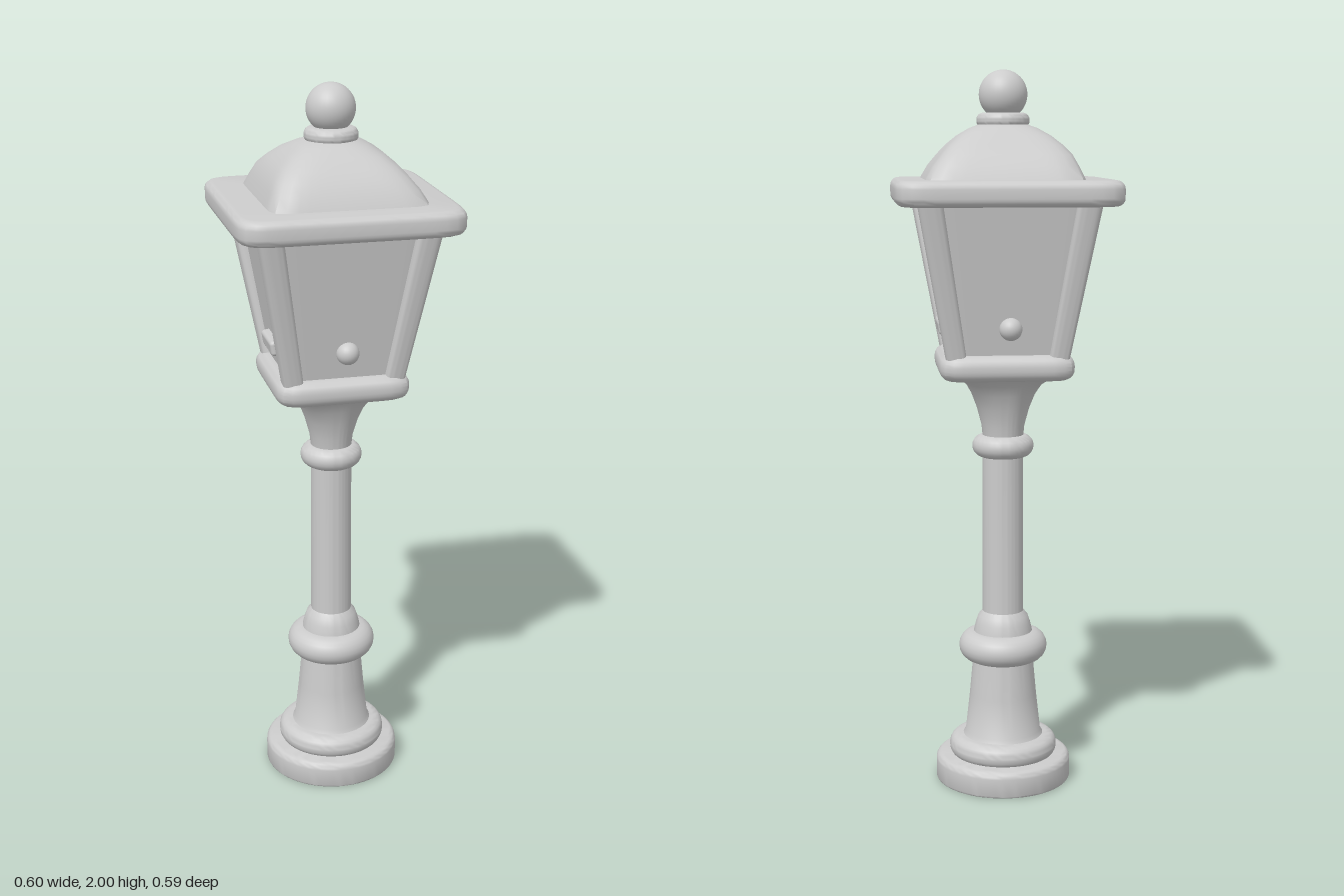
import * as THREE from 'three';
import { toCreasedNormals } from 'three/addons/utils/BufferGeometryUtils.js';
import { RoundedBoxGeometry } from 'three/addons/geometries/RoundedBoxGeometry.js';

const SEG = 64;
const grey = new THREE.MeshStandardMaterial({ color: 0xcccccc });

// Loft through rows [y, half width, squareness (2 = round), x shift, z shift], closed at both ends
function loft(rows, seg = SEG) {
  const pos = [], idx = [];
  const all = [[...rows[0]], ...rows, [...rows[rows.length - 1]]];
  all[0][1] = all[all.length - 1][1] = 0;
  for (const [y, half, n = 2, dx = 0, dz = 0] of all) {
    for (let j = 0; j < seg; j++) {
      const t = (j / seg) * Math.PI * 2, c = Math.cos(t), s = Math.sin(t);
      const r = half / Math.pow(Math.abs(c) ** n + Math.abs(s) ** n, 1 / n);
      pos.push(r * c + dx, y, r * s + dz);
    }
  }
  const last = all.length - 2;
  for (let i = 0; i <= last; i++) {
    for (let j = 0; j < seg; j++) {
      const k = (j + 1) % seg;
      const a = i * seg + j, b = i * seg + k, c = a + seg, d = b + seg;
      if (i < last) idx.push(a, c, d);
      if (i > 0) idx.push(a, d, b);
    }
  }
  const g = new THREE.BufferGeometry();
  g.setAttribute('position', new THREE.Float32BufferAttribute(pos, 3));
  g.setIndex(idx);
  return toCreasedNormals(g, 0.7);
}

// Rows of a slab whose upper and lower edges are rounded over
function slab(y0, y1, half, n = 2, round = (y1 - y0) / 2, roundBottom = round) {
  const rows = [];
  for (let i = 0; i <= 5; i++) {
    const a = (i / 5) * Math.PI / 2;
    rows.push([y0 + roundBottom * (1 - Math.cos(a)), half - roundBottom * (1 - Math.sin(a)), n]);
  }
  for (let i = 0; i <= 5; i++) {
    const a = (i / 5) * Math.PI / 2;
    rows.push([y1 - round * (1 - Math.sin(a)), half - round * (1 - Math.cos(a)), n]);
  }
  return rows.filter((r, i) => !i || r[0] - rows[i - 1][0] > 1e-5);
}

export function createModel() {
  const model = new THREE.Group();
  model.name = 'streetLamp';
  const add = (name, geometry, parent = model) => {
    const mesh = new THREE.Mesh(geometry, grey);
    mesh.name = name;
    parent.add(mesh);
    return mesh;
  };

  // Stepped round foot and tapered pedestal
  add('foot', loft(slab(0, 0.075, 0.192, 2, 0.02, 0.006)));
  add('footStep', loft(slab(0.065, 0.13, 0.153, 2, 0.03)));
  add('pedestal', loft([[0.12, 0.12], [0.14, 0.107], [0.25, 0.095], [0.36, 0.085]]));
  add('pedestalRing', loft(slab(0.35, 0.435, 0.125)));

  // Column with its collars
  add('lowerCollar', loft([[0.42, 0.085], [0.44, 0.082], [0.46, 0.077], [0.48, 0.07], [0.495, 0.057]]));
  add('column', loft([[0.43, 0.058], [0.96, 0.057]]));
  add('upperCollar', loft(slab(0.94, 1.003, 0.086)));

  // Neck, flaring from round to square under the lantern
  add('neck', loft([
    [0.98, 0.055, 2], [1.03, 0.06, 2.1], [1.08, 0.073, 2.4],
    [1.12, 0.088, 2.8], [1.15, 0.105, 3.5], [1.175, 0.135, 5], [1.19, 0.16, 7],
  ]));
  add('lanternTray', loft(slab(1.172, 1.243, 0.184, 9, 0.03)));

  // Lantern body, widening upwards
  const lantern = new THREE.Group();
  lantern.name = 'lantern';
  model.add(lantern);
  add('glass', loft([[1.23, 0.147, 40], [1.66, 0.217, 40]]), lantern);
  for (const sx of [-1, 1]) {
    for (const sz of [-1, 1]) {
      add('cornerPost', loft([
        [1.23, 0.028, 4, sx * 0.139, sz * 0.139],
        [1.66, 0.034, 4, sx * 0.212, sz * 0.212],
      ], 32), lantern);
    }
  }

  // Knobs on front and back, bars on the two sides
  for (const s of [-1, 1]) {
    add('knob', new THREE.SphereGeometry(0.031, 24, 16), lantern)
      .position.set(s * 0.006, 1.315, s * 0.163);
    const bar = add('sideBar', new RoundedBoxGeometry(0.035, 0.042, 0.126, 3, 0.01), lantern);
    bar.position.set(s * 0.166, 1.313, -s * 0.012);
    bar.rotation.z = -s * 0.16;
  }

  // Broad square eave and domed roof
  add('eave', loft(slab(1.642, 1.71, 0.302, 11, 0.022), 96)).scale.z = 0.975;
  add('roof', loft([
    [1.70, 0.216, 12, 0.008], [1.715, 0.21, 12, 0.007], [1.745, 0.195, 10, 0.005],
    [1.775, 0.176, 8], [1.80, 0.154, 6], [1.825, 0.125, 4.5],
    [1.845, 0.092, 3], [1.857, 0.06, 2],
  ]));

  // Finial
  add('finialCollar', loft(slab(1.845, 1.886, 0.072, 2, 0.018)));
  add('finialBall', new THREE.SphereGeometry(0.066, 32, 24)).position.set(0, 1.934, -0.004);

  return model;
}
